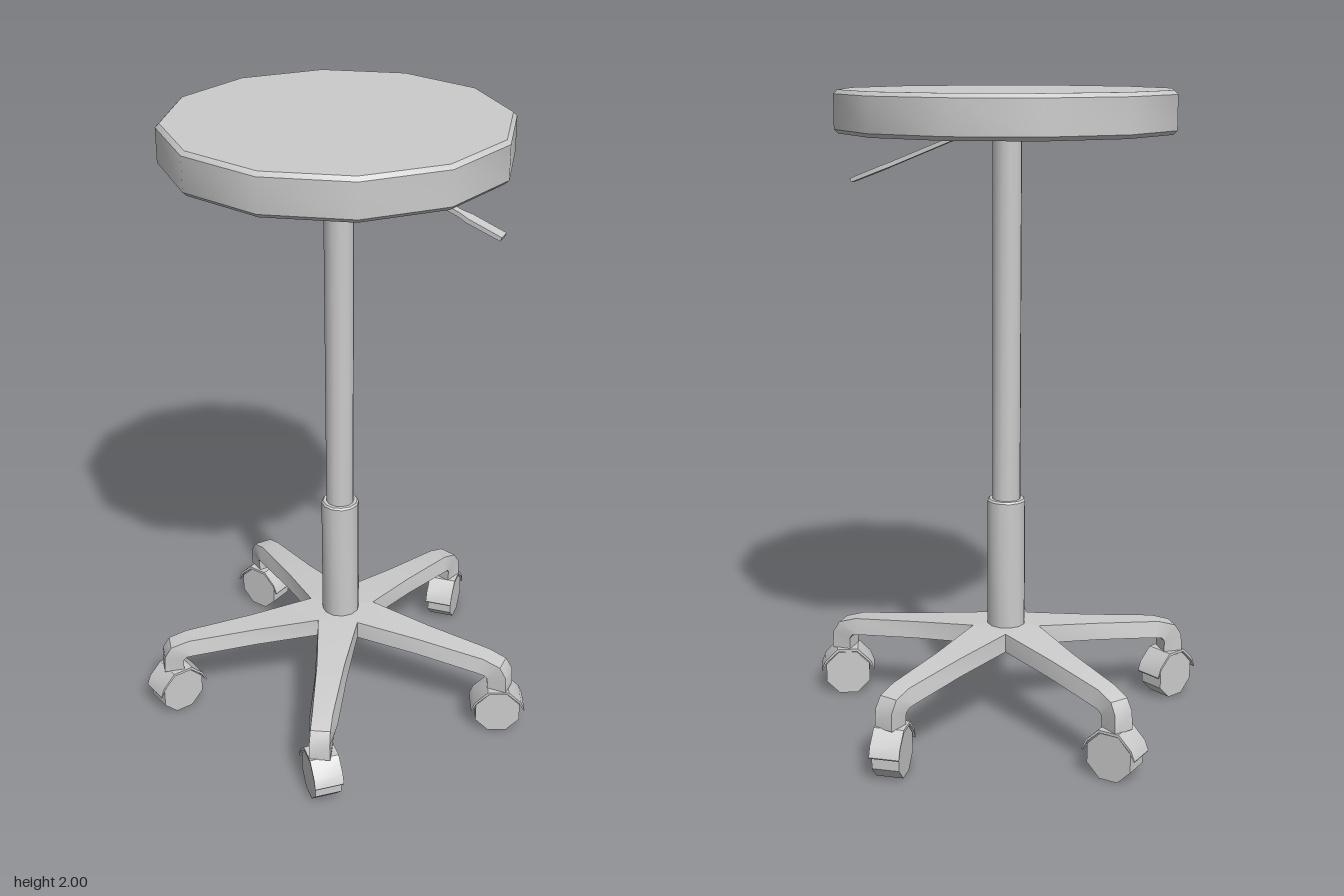
import * as THREE from 'three';
import { toCreasedNormals } from 'three/addons/utils/BufferGeometryUtils.js';

const material = new THREE.MeshStandardMaterial({ color: 0xcccccc });

function addMesh(parent, name, geometry) {
  const mesh = new THREE.Mesh(toCreasedNormals(geometry, 0.65), material);
  mesh.name = name;
  parent.add(mesh);
  return mesh;
}

// Turned part from a bottom-to-top profile of [radius, y]
function turned(profile, sides) {
  return new THREE.LatheGeometry(profile.map(([r, y]) => new THREE.Vector2(r, y)), sides);
}

// Four-sided bar along +x; each station is
// [x top, y top, half width top, x bottom, y bottom, half width bottom]
function bar(stations) {
  const positions = [];
  const index = [];
  for (const [xt, yt, wt, xb, yb, wb] of stations) {
    positions.push(xt, yt, -wt, xt, yt, wt, xb, yb, wb, xb, yb, -wb);
  }
  for (let i = 0; i < stations.length - 1; i++) {
    for (let j = 0; j < 4; j++) {
      const a = i * 4 + j;
      const b = i * 4 + (j + 1) % 4;
      index.push(a, b, b + 4, a, b + 4, a + 4);
    }
  }
  const e = (stations.length - 1) * 4;
  index.push(e, e + 1, e + 2, e, e + 2, e + 3);
  index.push(0, 2, 1, 0, 3, 2);
  const geometry = new THREE.BufferGeometry();
  geometry.setAttribute('position', new THREE.Float32BufferAttribute(positions, 3));
  geometry.setIndex(index);
  return geometry;
}

// Octagonal wheel under a thin hood with flared ends
function createCaster() {
  const caster = new THREE.Group();
  caster.name = 'caster';

  const wheel = new THREE.CylinderGeometry(0.078, 0.078, 0.084, 8);
  wheel.rotateY(Math.PI / 8).rotateX(Math.PI / 2);
  addMesh(caster, 'wheel', wheel).position.y = 0.073;

  const outer = [[-0.088, 0.085], [-0.076, 0.115], [-0.034, 0.157]];
  const inner = [[-0.086, 0.081], [-0.07, 0.112], [-0.031, 0.148]];
  const mirror = (side) => side.map(([x, y]) => [-x, y]).reverse();
  const outline = [...outer, ...mirror(outer), ...mirror(inner).reverse(), ...inner.slice().reverse()];
  // Inner edge runs back from the right end to the left end
  const right = mirror(inner).reverse();
  const points = [...outer, ...mirror(outer), ...right, ...inner.slice().reverse()]
    .slice(0, outline.length);
  points.splice(6, 3, ...inner.map(([x, y]) => [-x, y]));
  const hood = new THREE.ExtrudeGeometry(
    new THREE.Shape(points.map(([x, y]) => new THREE.Vector2(x, y))),
    { depth: 0.093, bevelEnabled: false });
  hood.translate(0, 0, -0.0465);
  addMesh(caster, 'hood', hood);
  return caster;
}

export function createModel() {
  const model = new THREE.Group();
  model.name = 'stool';
  const stool = new THREE.Group();
  stool.name = 'stoolBody';
  stool.position.x = -0.053;
  model.add(stool);

  // Seat cushion with narrow bevels, and its mounting plate
  addMesh(stool, 'seat', turned([
    [0, 1.873], [0.509, 1.873], [0.521, 1.885], [0.521, 1.988], [0.509, 2], [0, 2],
  ], 12));
  addMesh(stool, 'mountingPlate', turned([
    [0, 1.863], [0.332, 1.863], [0.332, 1.876], [0, 1.876],
  ], 8));

  // Telescopic column
  addMesh(stool, 'pole', new THREE.CylinderGeometry(0.045, 0.045, 1.17, 12)).position.y = 1.285;
  addMesh(stool, 'sleeve', turned([
    [0, 0.28], [0.061, 0.28], [0.061, 0.722], [0.056, 0.728], [0, 0.728],
  ], 12));

  // Height lever, widening to a paddle
  addMesh(stool, 'lever', bar([
    [0.13, 1.875, 0.013, 0.126, 1.863, 0.013],
    [0.385, 1.773, 0.013, 0.38, 1.76, 0.013],
    [0.41, 1.763, 0.021, 0.405, 1.75, 0.021],
    [0.514, 1.722, 0.021, 0.509, 1.71, 0.021],
  ]));

  // Five legs meeting as a star, each with a caster turned the same way
  const legStations = [
    [0, 0.312, 0.0005, 0, 0.25, 0.0005],
    [0.09, 0.31, 0.0654, 0.09, 0.25, 0.0654],
    [0.3, 0.288, 0.044, 0.3, 0.234, 0.052],
    [0.52, 0.266, 0.032, 0.5, 0.216, 0.046],
    [0.58, 0.247, 0.031, 0.53, 0.209, 0.041],
    [0.602, 0.212, 0.032, 0.541, 0.195, 0.036],
    [0.605, 0.155, 0.033, 0.541, 0.155, 0.033],
  ];
  for (let i = 0; i < 5; i++) {
    const arm = new THREE.Group();
    arm.name = 'legWithCaster';
    arm.rotation.y = i * Math.PI * 2 / 5;
    addMesh(arm, 'leg', bar(legStations));
    const caster = createCaster();
    caster.position.x = 0.565;
    caster.rotation.y = THREE.MathUtils.degToRad(24);
    arm.add(caster);
    stool.add(arm);
  }
  return model;
}
